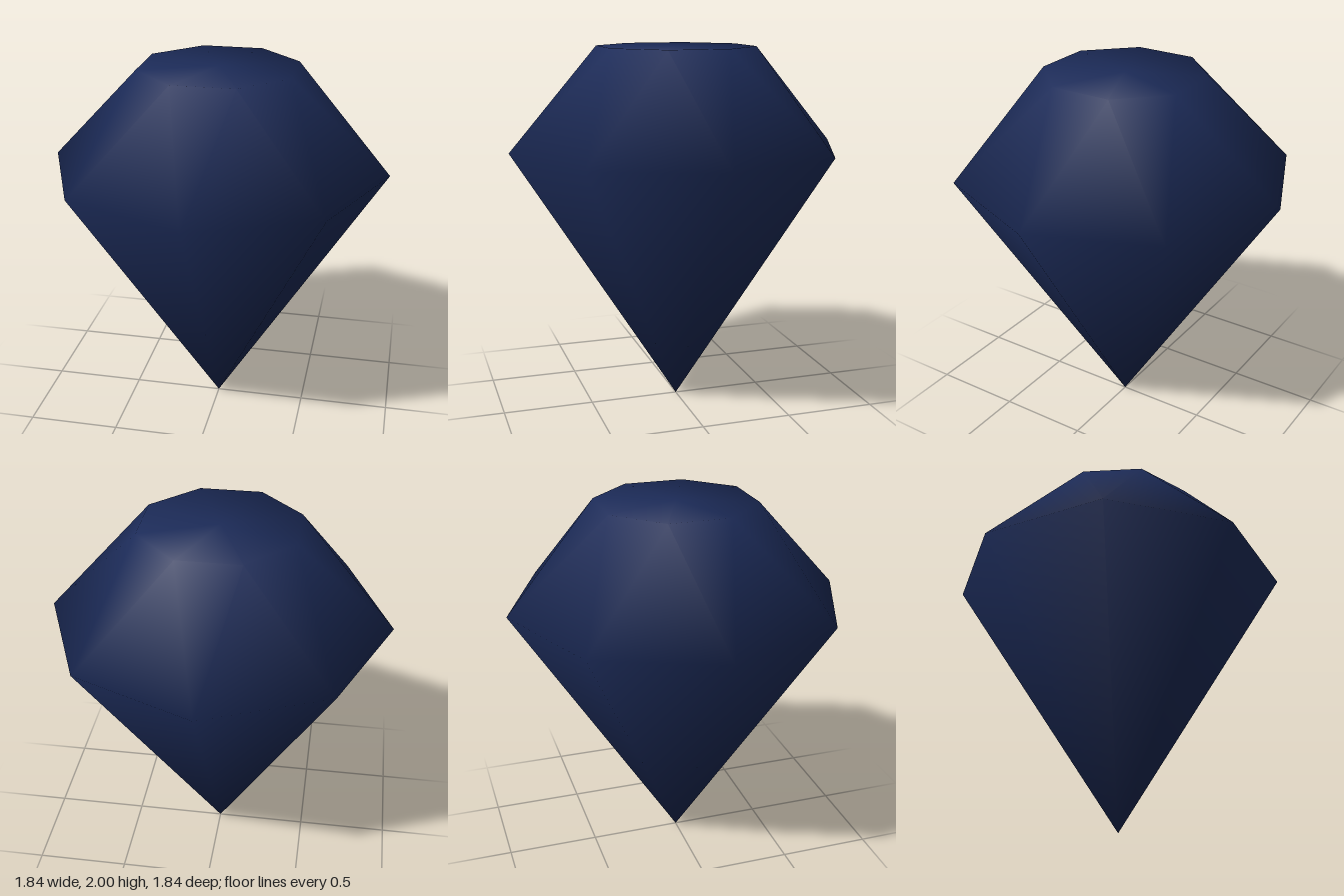
import * as THREE from 'three';

const SIDES = 8;

// Cut gem: pointed pavilion, wide girdle, crown of triangles and a flat table.
// Vertices are shared between facets so the normals blend smoothly.
function gemGeometry() {
  const points = [];
  const faces = [];
  const ring = (radius, y, turn) => {
    for (let i = 0; i < SIDES; i++) {
      const a = ((i + turn) / SIDES) * Math.PI * 2;
      points.push(radius * Math.cos(a), y, radius * Math.sin(a));
    }
  };
  ring(0.92, 1.455, 0); // girdle
  ring(0.435, 2, 0.5); // table edge, turned half a step
  points.push(0, 0, 0, 0, 2, 0); // lower tip, table centre
  const tip = SIDES * 2;
  const centre = tip + 1;

  for (let i = 0; i < SIDES; i++) {
    const g0 = i;
    const g1 = (i + 1) % SIDES;
    const t0 = SIDES + g0;
    const t1 = SIDES + g1;
    faces.push(g0, g1, tip); // pavilion
    faces.push(g0, t0, g1, t0, t1, g1); // crown
    faces.push(centre, t1, t0); // table
  }

  const geometry = new THREE.BufferGeometry();
  geometry.setAttribute('position', new THREE.Float32BufferAttribute(points, 3));
  geometry.setIndex(faces);
  geometry.computeVertexNormals();
  return geometry;
}

export function createModel() {
  const group = new THREE.Group();
  const gem = new THREE.Mesh(gemGeometry(), new THREE.MeshStandardMaterial({ color: 0x1c2b58 }));
  gem.name = 'gem';
  group.add(gem);
  return group;
}
